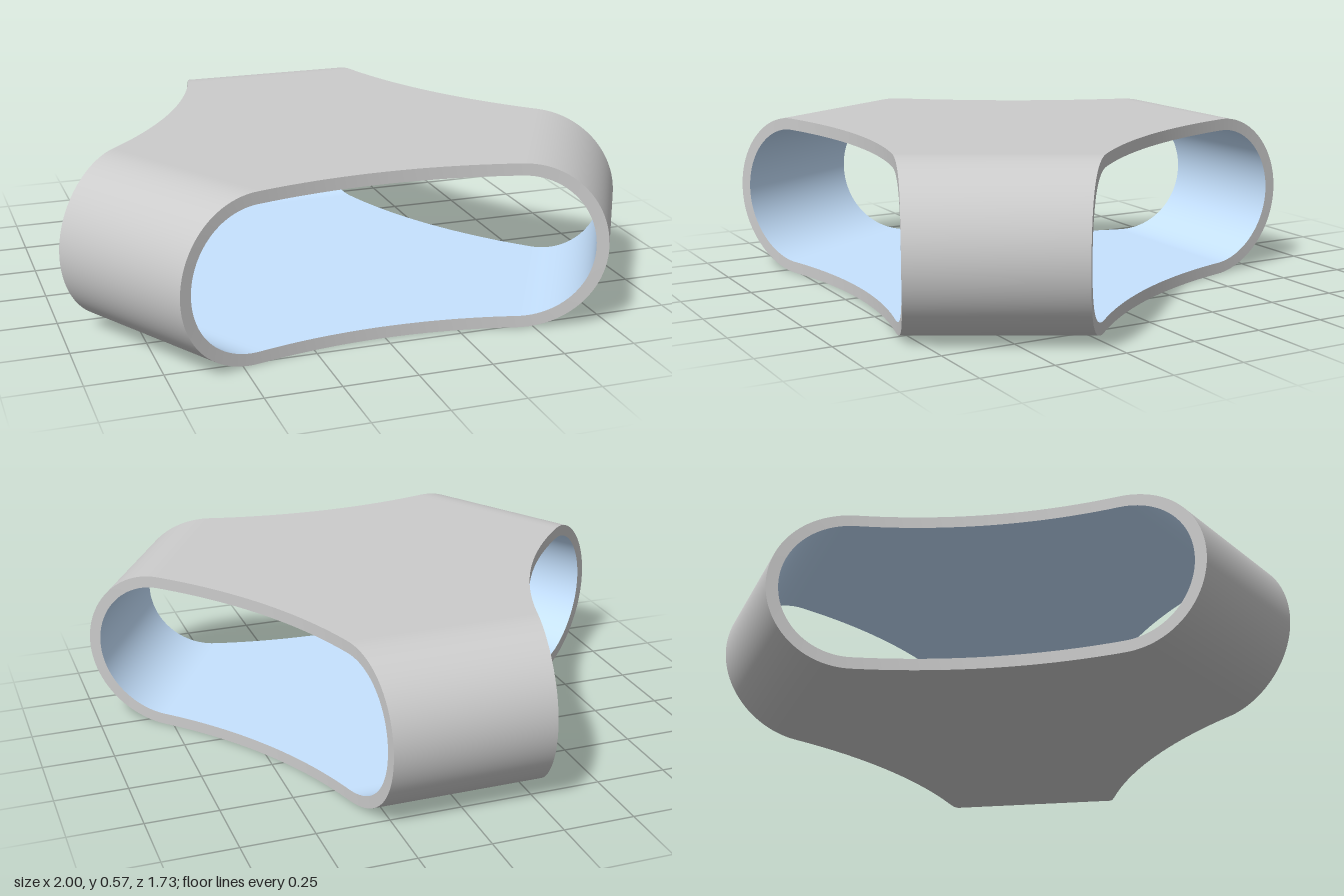
import * as THREE from 'three';

const REACH = 0.99;        // centre to the rounded tip of each arm
const RADIUS = 0.286;      // half height of the shell, radius of the tip
const WALL = 0.041;
const ARC = 1.716;         // radius of the concave cut between two arms
const WAIST = 0.581;       // centre to the middle of each cut
const CUT = WAIST + ARC;

// half width of an arm at distance t from the centre
function halfWidth(t) {
  const cut = CUT * Math.sin(Math.PI / 3) - Math.sqrt(ARC * ARC - (t - CUT / 2) ** 2);
  return t <= WAIST / 2 ? t * Math.sqrt(3) : cut;
}

// section along an arm: top, round tip, bottom, as [t, y]
function section(r) {
  const flat = 16, round = 48, start = WAIST / 2, bend = REACH - RADIUS;
  const top = [];
  for (let i = 0; i < flat; i++) top.push([start + (bend - start) * i / flat, RADIUS + r]);
  const tip = [];
  for (let i = 0; i <= round; i++) {
    const a = Math.PI * i / round;
    tip.push([bend + r * Math.sin(a), RADIUS + r * Math.cos(a)]);
  }
  const bottom = top.map(([t]) => [t, RADIUS - r]).reverse();
  return [...top, ...tip, ...bottom];
}

const edge = (profile, side) => profile.map(([t, y]) => [side * halfWidth(t), y, t]);

// ribbon of quads between two edges
function ribbon(a, b) {
  const pos = [], index = [];
  a.forEach((p, i) => {
    pos.push(...p, ...b[i]);
    const k = 2 * i;
    if (i < a.length - 1) index.push(k, k + 2, k + 1, k + 1, k + 2, k + 3);
  });
  const g = new THREE.BufferGeometry();
  g.setAttribute('position', new THREE.Float32BufferAttribute(pos, 3));
  g.setIndex(index);
  g.computeVertexNormals();
  return g;
}

export function createModel() {
  const model = new THREE.Group();
  model.name = 'threeWayShell';
  const grey = new THREE.MeshStandardMaterial({ color: 0xcccccc });
  const blue = new THREE.MeshStandardMaterial({ color: 0xc6e2ff });

  const outer = section(RADIUS), inner = section(RADIUS - WALL);
  // the full skins run on to the centre, the rims stop at the waist
  const toCentre = (p) => [[0, p[0][1]], ...p, [0, p[p.length - 1][1]]];
  const outerSkin = toCentre(outer), innerSkin = toCentre(inner);

  const parts = [
    ['outerSkin', ribbon(edge(outerSkin, -1), edge(outerSkin, 1)), grey],
    ['innerLining', ribbon(edge(innerSkin, 1), edge(innerSkin, -1)), blue],
    ['leftRim', ribbon(edge(outer, 1), edge(inner, 1)), grey],
    ['rightRim', ribbon(edge(inner, -1), edge(outer, -1)), grey],
  ];

  // three equal arms
  [['backArm', Math.PI], ['leftArm', Math.PI / 3], ['rightArm', -Math.PI / 3]].forEach(([name, turn]) => {
    const arm = new THREE.Group();
    arm.name = name;
    for (const [part, geometry, material] of parts) {
      const mesh = new THREE.Mesh(geometry, material);
      mesh.name = part;
      arm.add(mesh);
    }
    arm.rotation.y = turn;
    arm.position.z = 0.124;
    model.add(arm);
  });
  return model;
}
